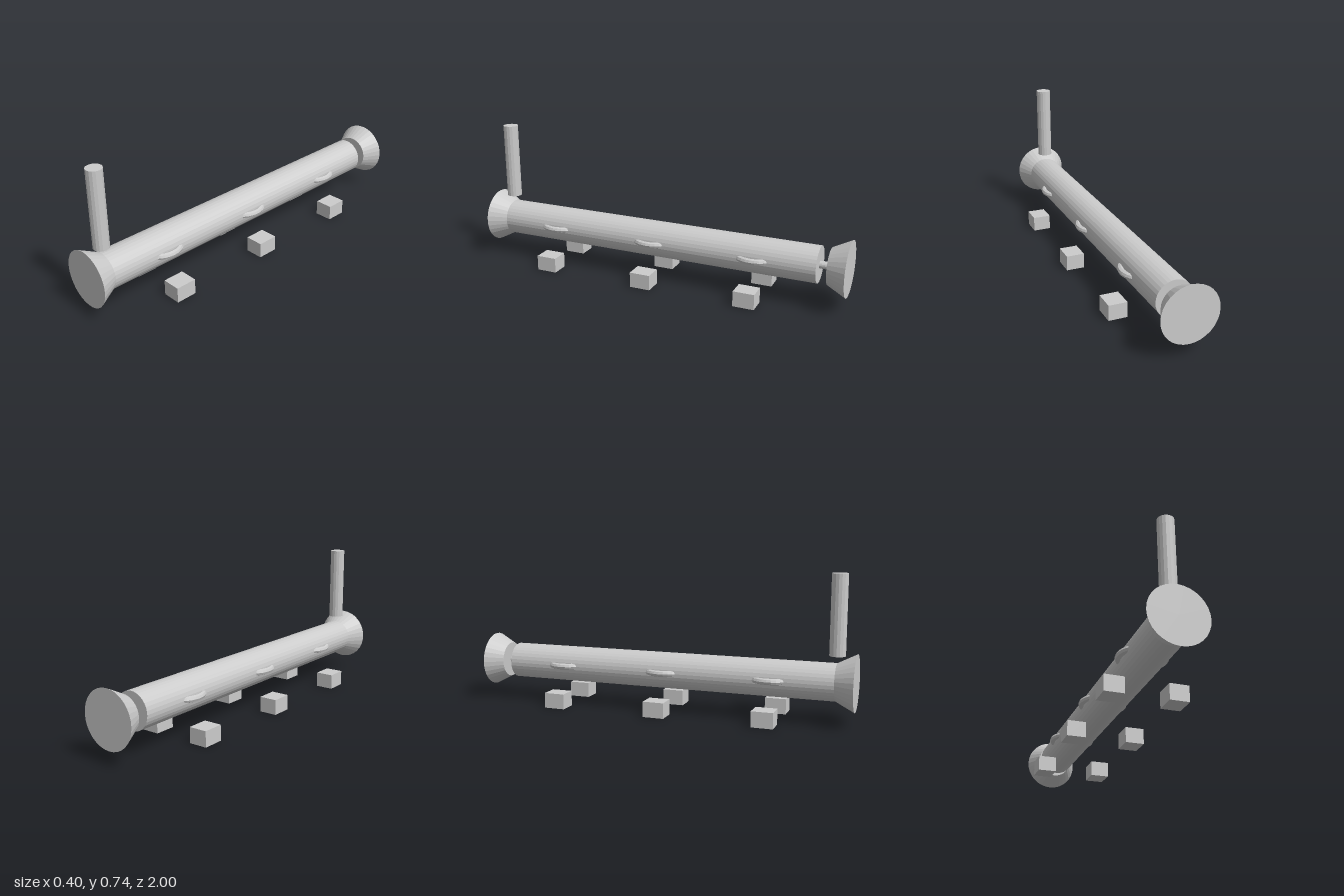
import * as THREE from 'three';

export function createModel() {
  const model = new THREE.Group();
  const material = new THREE.MeshStandardMaterial({ color: 0xcccccc, flatShading: true });
  const axisY = 0.21;
  const bodyR = 0.094;
  const flareR = 0.143;

  function add(name, geometry, x, y, z) {
    const mesh = new THREE.Mesh(geometry, material);
    mesh.name = name;
    mesh.position.set(x, y, z);
    model.add(mesh);
    return mesh;
  }

  // Round part lying along z, given its two ends and their radii
  function addAlongZ(name, zBack, zFront, rBack, rFront, sides = 32) {
    const geometry = new THREE.CylinderGeometry(rFront, rBack, zFront - zBack, sides);
    geometry.rotateX(Math.PI / 2);
    return add(name, geometry, 0, axisY, (zBack + zFront) / 2);
  }

  // Long barrel with a flared muzzle and a flared end cap on a short rod
  addAlongZ('barrel', -0.855, 0.905, bodyR, bodyR);
  addAlongZ('frontFlare', 0.905, 1, bodyR, flareR);
  addAlongZ('rearRod', -0.915, -0.845, 0.019, 0.019, 16);
  addAlongZ('rearFlare', -1, -0.905, flareR, bodyR);

  // Upright post above the front end
  add('post', new THREE.CylinderGeometry(0.04, 0.04, 0.4, 16), 0, 0.54, 0.905);

  // Three stations: a horizontal ring through the barrel and a pair of feet
  const ring = new THREE.TorusGeometry(0.108, 0.016, 8, 32).rotateX(Math.PI / 2);
  const foot = new THREE.BoxGeometry(0.096, 0.08, 0.11);
  for (const z of [0.585, 0.025, -0.535]) {
    add('ring', ring, 0, axisY, z);
    add('leftFoot', foot, 0.152, 0.04, z);
    add('rightFoot', foot, -0.152, 0.04, z);
  }

  return model;
}
